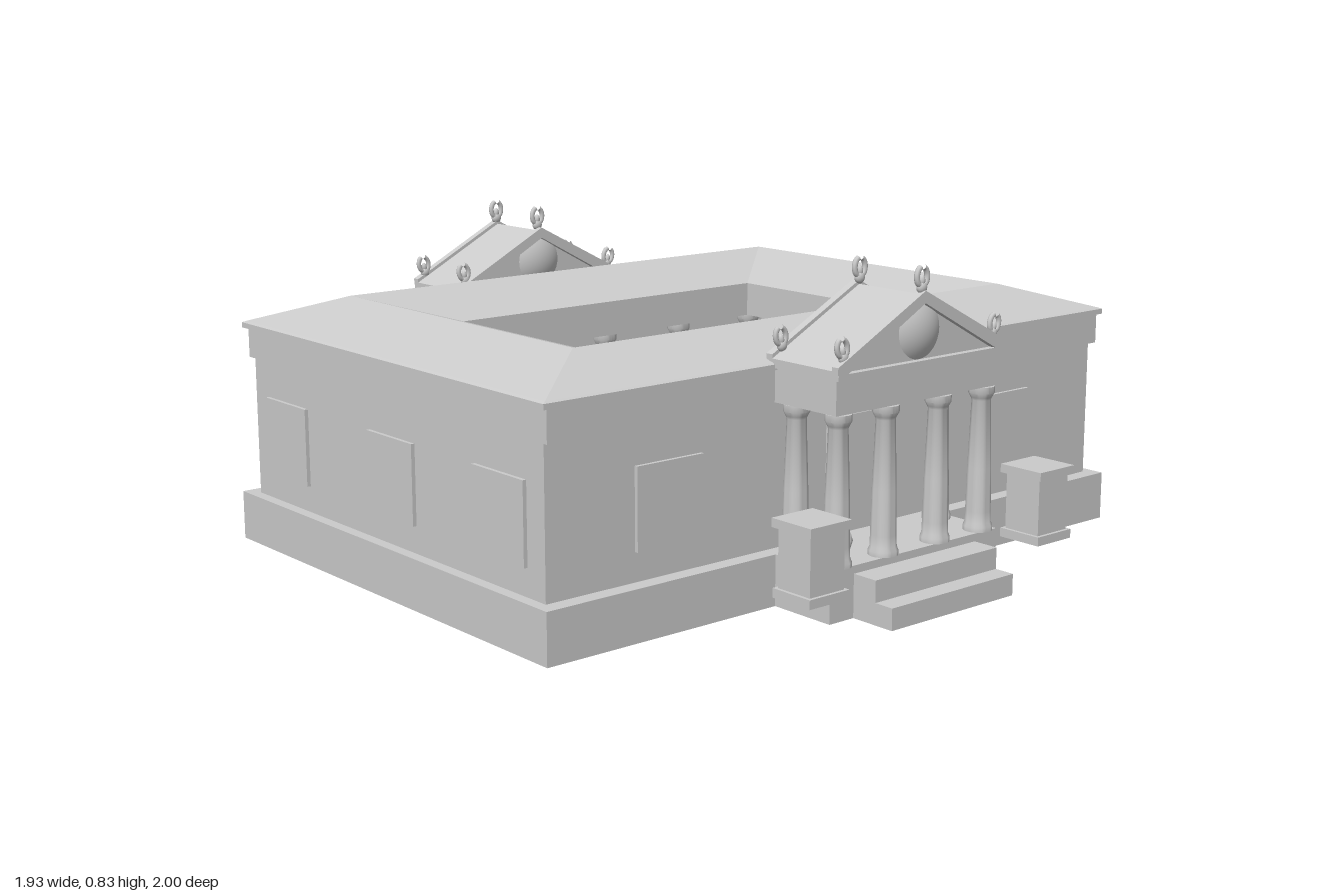
import * as THREE from 'three';
import { toCreasedNormals } from 'three/addons/utils/BufferGeometryUtils.js';

const material = new THREE.MeshStandardMaterial({ color: 0xcccccc });
const openMaterial = new THREE.MeshStandardMaterial({ color: 0xcccccc, side: THREE.DoubleSide });

function add(parent, name, geometry, x = 0, y = 0, z = 0) {
  const mesh = new THREE.Mesh(geometry, material);
  mesh.name = name;
  mesh.position.set(x, y, z);
  parent.add(mesh);
  return mesh;
}

// Box given by its limits on each axis
function block(parent, name, x0, x1, y0, y1, z0, z1) {
  return add(parent, name, new THREE.BoxGeometry(x1 - x0, y1 - y0, z1 - z0),
    (x0 + x1) / 2, (y0 + y1) / 2, (z0 + z1) / 2);
}

// Rectangular ring: loops [halfX, y, z0, z1] run from outer bottom over the top to the inside
function ring(parent, name, loops, closed = true) {
  const corners = loops.map(([x, y, z0, z1]) => [[-x, y, z1], [x, y, z1], [x, y, z0], [-x, y, z0]]);
  if (closed) corners.push(corners[0]);
  const pos = [];
  corners.slice(1).forEach((b, k) => {
    const a = corners[k];
    for (let i = 0; i < 4; i++) {
      const j = (i + 1) % 4;
      pos.push(...a[i], ...a[j], ...b[j], ...a[i], ...b[j], ...b[i]);
    }
  });
  const g = new THREE.BufferGeometry();
  g.setAttribute('position', new THREE.Float32BufferAttribute(pos, 3));
  g.computeVertexNormals();
  return add(parent, name, g);
}

const straightRing = (parent, name, y0, y1, [xo, zo0, zo1], [xi, zi0, zi1]) =>
  ring(parent, name, [[xo, y0, zo0, zo1], [xo, y1, zo0, zo1], [xi, y1, zi0, zi1], [xi, y0, zi0, zi1]]);

const lathe = (points, sides) => toCreasedNormals(
  new THREE.LatheGeometry(points.map(p => new THREE.Vector2(...p)), sides), 0.7);

// Column with flared base, tapering shaft and round capital
const columnGeometry = lathe([[0, 0], [0.037, 0], [0.037, 0.012], [0.033, 0.022], [0.032, 0.05], [0.03, 0.16],
  [0.024, 0.335], [0.027, 0.342], [0.033, 0.353], [0.033, 0.37], [0, 0.37]], 24);

const vaseGeometry = lathe([[0, 0], [0.018, 0], [0.018, 0.005], [0.029, 0.016], [0.035, 0.036], [0.03, 0.052],
  [0.019, 0.062], [0.024, 0.072], [0.019, 0.072], [0.015, 0.062], [0, 0.055]], 24);

// Curled horn used for the roof ornaments
const hornGeometry = new THREE.TubeGeometry(new THREE.CatmullRomCurve3([
  [0, 0.01], [0.014, 0.022], [0.017, 0.04], [0.011, 0.054], [0.005, 0.058],
].map(([x, y]) => new THREE.Vector3(x, y, 0))), 12, 0.007, 8);

// Shallow dome facing +z, 0.07 in radius and 0.02 high
const medallionGeometry = new THREE.SphereGeometry(0.1325, 32, 8, 0, Math.PI * 2, 0, 0.556)
  .translate(0, -0.1125, 0).rotateX(Math.PI / 2);

function ornament(parent, x, y, z, scale, tilt) {
  const g = new THREE.Group();
  g.name = 'roofOrnament';
  const foot = add(g, 'ornamentFoot', new THREE.SphereGeometry(0.015, 12, 8), 0, 0.01, 0);
  foot.scale.z = 0.7;
  const bud = add(g, 'ornamentBud', new THREE.SphereGeometry(0.01, 10, 8), 0, 0.026, 0);
  bud.scale.set(0.8, 1.4, 0.8);
  add(g, 'ornamentHorn', hornGeometry);
  add(g, 'ornamentHorn', hornGeometry).rotation.y = Math.PI;
  g.position.set(x, y, z);
  g.scale.setScalar(scale);
  g.rotation.z = tilt;
  parent.add(g);
}

// Flat outline pushed along z from z0 to z1
function slab(parent, name, points, z0, z1) {
  const shape = new THREE.Shape(points.map(p => new THREE.Vector2(...p)));
  return add(parent, name, new THREE.ExtrudeGeometry(shape, { depth: z1 - z0, bevelEnabled: false }), 0, 0, z0);
}

function createPortico() {
  const p = new THREE.Group();
  p.name = 'portico';
  // Porch floor and steps
  block(p, 'porchFloor', -0.292, 0.292, 0, 0.13, 0.685, 0.873);
  block(p, 'upperStep', -0.213, 0.213, 0, 0.11, 0.873, 0.945);
  block(p, 'lowerStep', -0.213, 0.213, 0, 0.055, 0.873, 1);
  // Door on the main wall
  block(p, 'door', -0.085, 0.085, 0.13, 0.43, 0.63, 0.652);
  // Front row and the outer back pair of columns
  for (const x of [-0.248, -0.09, 0.092, 0.25]) {
    add(p, 'porchColumn', columnGeometry, x, 0.13, 0.848);
    if (Math.abs(x) > 0.2) add(p, 'porchColumn', columnGeometry, x, 0.13, 0.707);
  }
  add(p, 'vase', vaseGeometry, -0.176, 0.13, 0.782);
  // Beam, cornice and gabled roof
  block(p, 'porchBeam', -0.278, 0.28, 0.5, 0.585, 0.64, 0.87);
  block(p, 'porchCornice', -0.286, 0.286, 0.585, 0.6, 0.642, 0.885);
  slab(p, 'gable', [[-0.27, 0.6], [0.27, 0.6], [0, 0.745]], 0.66, 0.866);
  const rake = top => [[-0.288, 0.6], [-0.255, 0.6], [0, 0.738], [0.255, 0.6], [0.288, 0.6],
    [0.288, top - 0.15], [0, top], [-0.288, top - 0.15]];
  slab(p, 'porchRoof', rake(0.758), 0.663, 0.864);
  for (const z of [0.642, 0.864]) slab(p, 'rakingCornice', rake(0.768), z, z + 0.021);
  // Domed medallions in both gables
  add(p, 'gableMedallion', medallionGeometry, 0, 0.67, 0.866);
  add(p, 'gableMedallion', medallionGeometry, 0, 0.67, 0.66).rotation.y = Math.PI;
  // Ornaments along the roof edges
  for (const z of [0.664, 0.871]) {
    ornament(p, 0, 0.764, z, 1.02, 0);
    for (const s of [-1, 1]) ornament(p, s * 0.256, 0.626, z, 0.95, s * -0.2);
  }
  // Pedestals beside the steps
  for (const s of [-1, 1]) {
    const x = s * 0.395;
    block(p, 'pedestalFoot', x - 0.063, x + 0.063, 0.097, 0.12, 0.853, 0.977);
    block(p, 'pedestalBody', x - 0.054, x + 0.054, 0.12, 0.265, 0.862, 0.968);
    block(p, 'pedestalCap', x - 0.065, x + 0.065, 0.265, 0.287, 0.85, 0.98);
  }
  return p;
}

export function createModel() {
  const model = new THREE.Group();
  model.name = 'courtyardTemple';

  // Base: a shell open underneath, with a shallow sunken courtyard
  ring(model, 'base', [[0.966, 0, -0.685, 0.685], [0.966, 0.13, -0.685, 0.685],
    [0.448, 0.13, -0.23, 0.245], [0.448, 0.11, -0.23, 0.245]], false).material = openMaterial;
  const court = add(model, 'courtyardFloor', new THREE.PlaneGeometry(0.896, 0.475), 0, 0.11, 0.0075);
  court.rotation.x = -Math.PI / 2;
  court.material = openMaterial;

  // Outer walls and upper band
  straightRing(model, 'walls', 0.13, 0.5, [0.936, -0.642, 0.642], [0.74, -0.48, 0.48]);
  straightRing(model, 'wallBand', 0.5, 0.582, [0.942, -0.662, 0.662], [0.74, -0.48, 0.48]);

  // Four-sided roof sloping to both the outside and the courtyard
  ring(model, 'roof', [[0.956, 0.58, -0.67, 0.67], [0.956, 0.594, -0.67, 0.67], [0.945, 0.598, -0.662, 0.662],
    [0.732, 0.664, -0.487, 0.483], [0.507, 0.596, -0.29, 0.313], [0.507, 0.58, -0.29, 0.313]]);
  straightRing(model, 'courtyardBeam', 0.5, 0.585, [0.58, -0.365, 0.388], [0.509, -0.292, 0.315]);

  // Colonnade around the courtyard
  for (let i = 0; i < 5; i++) {
    for (let j = 0; j < 3; j++) {
      if (i % 4 && j === 1) continue;
      add(model, 'courtyardColumn', columnGeometry, (i - 2) * 0.273, 0.13, 0.011 + (j - 1) * 0.341);
    }
  }

  // Raised window panels
  for (const s of [-1, 1]) {
    for (const x of [-0.58, 0.577]) block(model, 'window', x - 0.1, x + 0.1, 0.203, 0.407, s * 0.642 - 0.01, s * 0.642 + 0.01);
    for (const z of [-0.475, 0.023, 0.475]) block(model, 'window', s * 0.936 - 0.01, s * 0.936 + 0.01, 0.2, 0.404, z - 0.1, z + 0.1);
  }

  // Front and back porticos
  for (const turn of [0, Math.PI]) {
    const portico = createPortico();
    portico.position.x = 0.013;
    portico.rotation.y = turn;
    model.add(portico);
  }
  return model;
}
